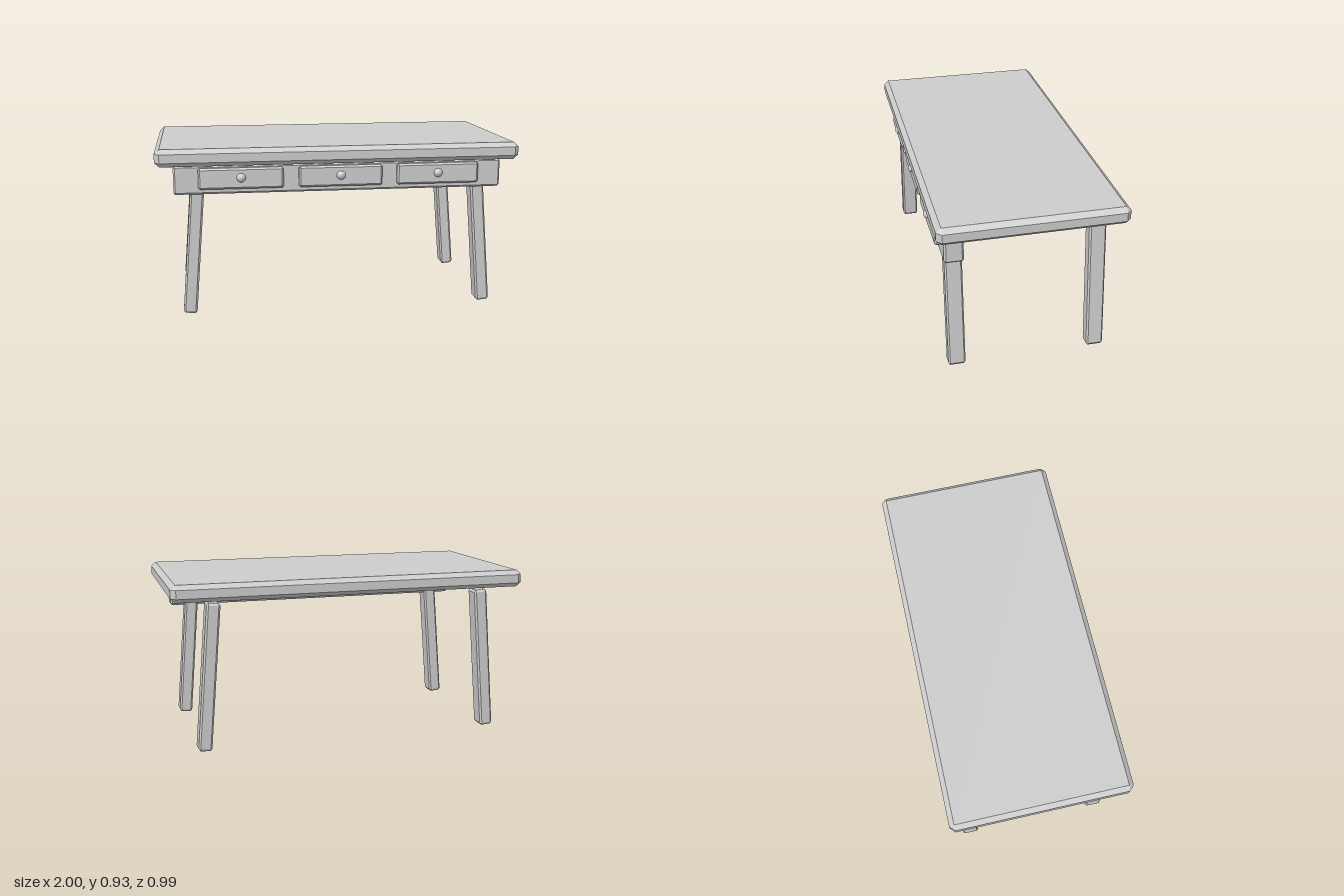
import * as THREE from 'three';
import { ConvexGeometry } from 'three/addons/geometries/ConvexGeometry.js';

// Box with flat chamfers (cx, cy, cz) on every edge
function chamferBox(w, h, d, cx, cy = cx, cz = cx) {
  const points = [];
  for (const sx of [-1, 1]) for (const sy of [-1, 1]) for (const sz of [-1, 1]) {
    const x = w / 2, y = h / 2, z = d / 2;
    points.push(
      new THREE.Vector3(sx * x, sy * (y - cy), sz * (z - cz)),
      new THREE.Vector3(sx * (x - cx), sy * y, sz * (z - cz)),
      new THREE.Vector3(sx * (x - cx), sy * (y - cy), sz * z)
    );
  }
  return new ConvexGeometry(points);
}

export function createModel() {
  const group = new THREE.Group();
  const grey = new THREE.MeshStandardMaterial({ color: 0xcccccc });
  grey.name = 'plainGrey';

  const add = (name, geometry, x, y, z) => {
    const mesh = new THREE.Mesh(geometry, grey);
    mesh.name = name;
    mesh.position.set(x, y, z);
    group.add(mesh);
    return mesh;
  };

  // Table top with bevelled rim
  add('tableTop', chamferBox(2, 0.095, 0.99, 0.027, 0.024, 0.027), 0, 0.881, 0.001);

  // Drawer case under the front edge
  add('drawerCase', chamferBox(1.81, 0.157, 0.102, 0.01), 0, 0.755, 0.396);

  // Three drawer fronts with round knobs
  const drawer = chamferBox(0.46, 0.115, 0.07, 0.01);
  const knob = new THREE.SphereGeometry(0.026, 20, 14);
  for (const x of [-0.543, 0, 0.543]) {
    add('drawerFront', drawer, x, 0.763, 0.437);
    add('drawerKnob', knob, x, 0.767, 0.464);
  }

  // Four legs splayed outwards towards the floor
  const leg = chamferBox(0.075, 0.817, 0.093, 0.01, 0.013, 0.009);
  for (const side of [-1, 1]) for (const end of [-1, 1]) {
    const mesh = add(end > 0 ? 'frontLeg' : 'backLeg', leg, side * 0.803, 0.41, end * 0.386);
    mesh.rotation.z = side * 0.083;
  }

  return group;
}
